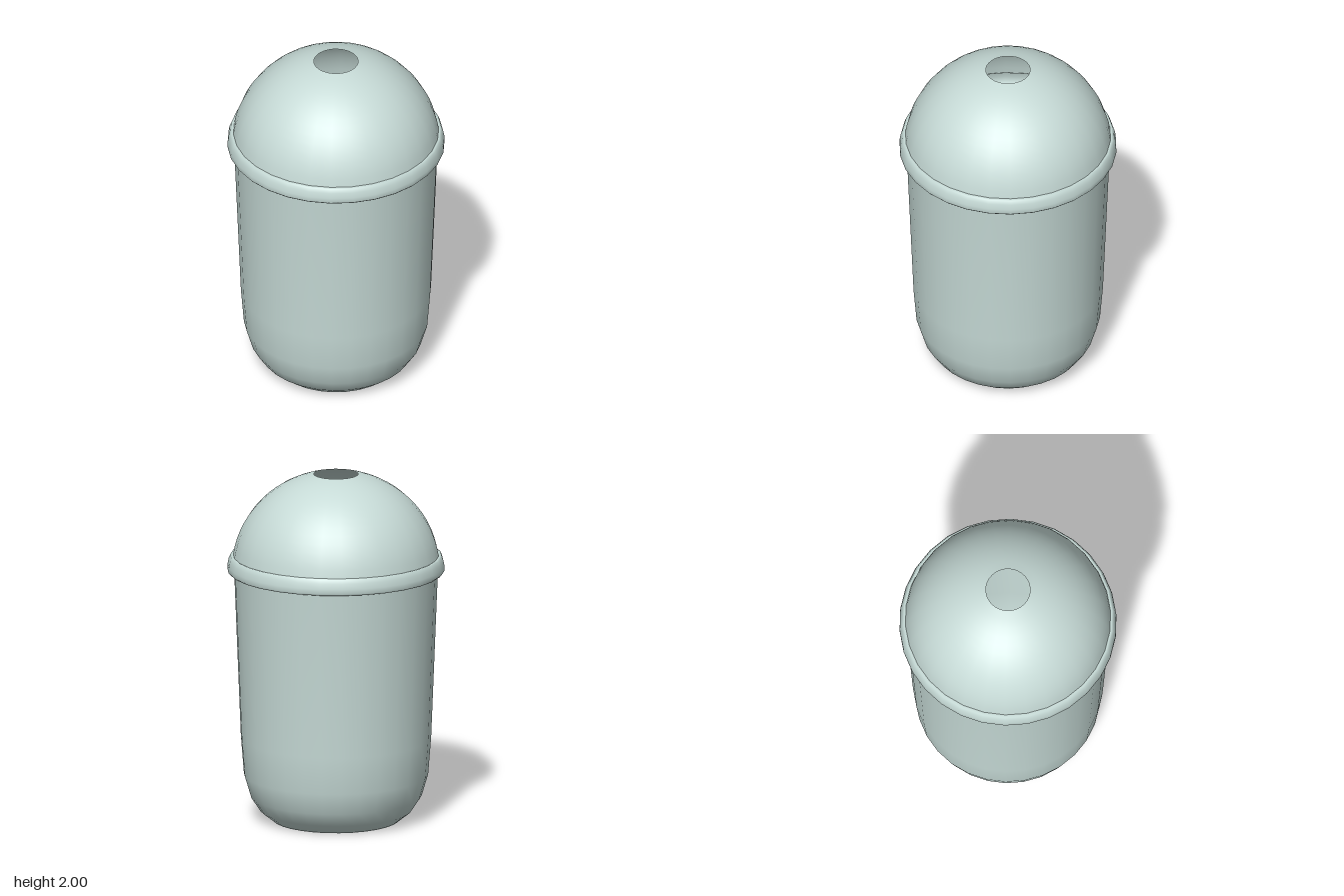
import * as THREE from 'three';

const SIDES = 30;

export function createModel() {
  const group = new THREE.Group();
  group.name = 'domedCup';

  const paleGreen = new THREE.MeshStandardMaterial({ color: 0xc6dad6, side: THREE.DoubleSide });
  paleGreen.name = 'paleGreyGreen';

  const add = (name, geometry) => {
    const mesh = new THREE.Mesh(geometry, paleGreen);
    mesh.name = name;
    group.add(mesh);
    return mesh;
  };
  // Turned shell; profile runs from bottom to top, a corner sits on the x axis
  const turned = (name, profile) => add(name, new THREE.LatheGeometry(
    profile.map(([r, y]) => new THREE.Vector2(r, y)), SIDES, Math.PI / 2));

  // Tapered cup wall running smoothly into the overhanging rim
  turned('cupAndRim', [
    [0.36, 0.005], [0.43, 0.06], [0.483, 0.14], [0.52, 0.265], [0.537, 0.48],
    [0.575, 1.437], [0.604, 1.437], [0.613, 1.447], [0.612, 1.475],
    [0.606, 1.505], [0.597, 1.528], [0.588, 1.532], [0.578, 1.53],
  ]);

  // Flat base
  const base = add('base', new THREE.CircleGeometry(0.36, SIDES));
  base.rotation.x = Math.PI / 2;
  base.position.y = 0.003;

  // Dome lid with a round opening at the top
  const dome = [];
  const radius = 0.586, height = 0.563, centre = 1.45;
  const start = Math.asin((1.525 - centre) / height);
  const end = Math.acos(0.125 / radius);
  for (let i = 0; i <= 14; i++) {
    const a = start + (end - start) * i / 14;
    dome.push([radius * Math.cos(a), centre + height * Math.sin(a)]);
  }
  turned('domeLid', dome);

  return group;
}
